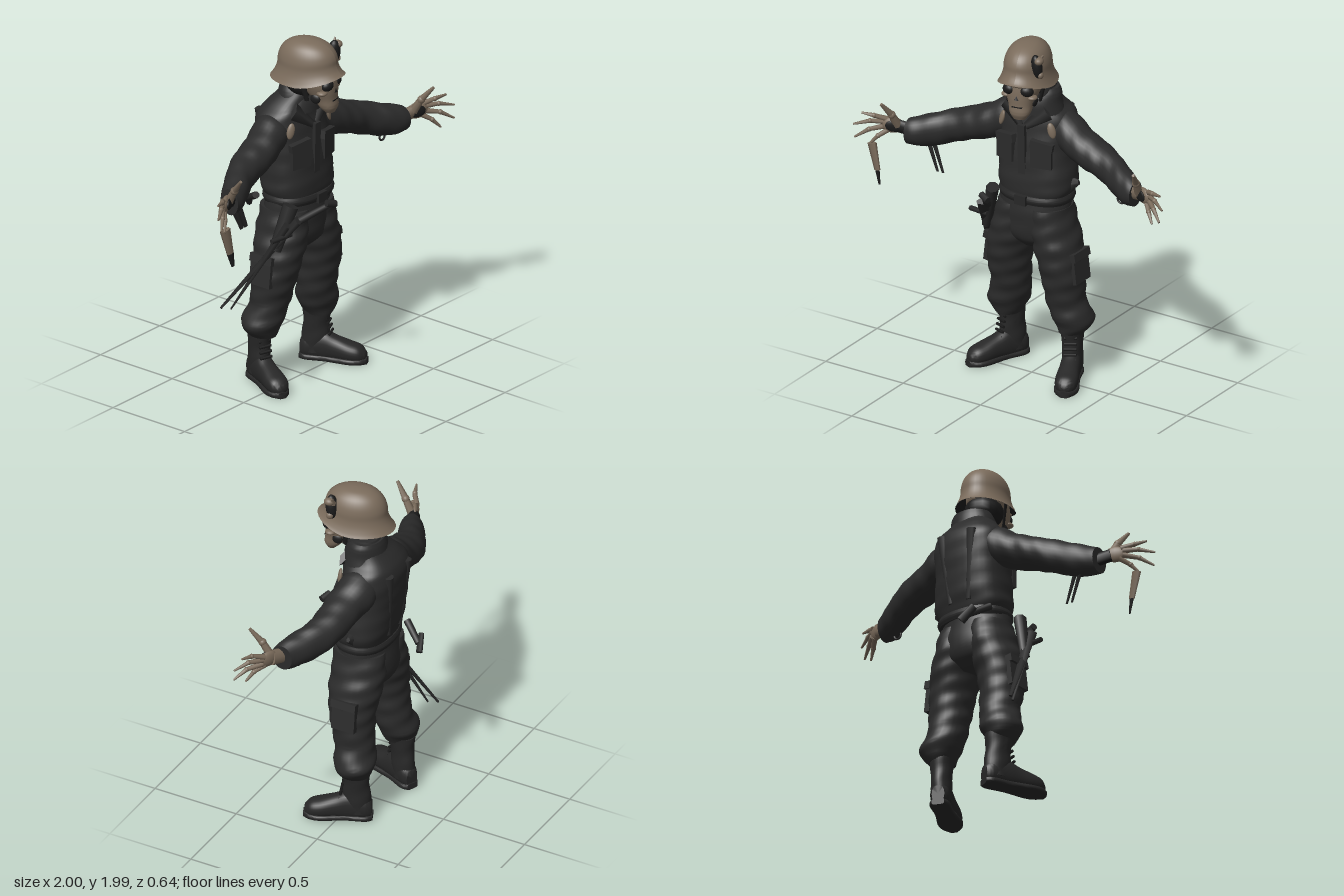
import * as THREE from 'three';
import { toCreasedNormals } from 'three/addons/utils/BufferGeometryUtils.js';

const paint = (name, hex, side = THREE.FrontSide) => {
  const m = new THREE.MeshStandardMaterial({ color: hex, side });
  m.name = name;
  return m;
};
const V = (p) => new THREE.Vector3(...p);

// Smooth skin over elliptical sections [x, y, z, ru, rv], listed along +axis.
const AXES = { x: ['z', 'y'], y: ['x', 'z'], z: ['y', 'x'] };
function loft(secs, axis, { n = 2, wrinkle = 0, steps = 5, seg = 28 } = {}) {
  const mid = new THREE.CatmullRomCurve3(secs.map((s) => V(s.slice(0, 3))), false, 'catmullrom');
  const rad = new THREE.CatmullRomCurve3(secs.map((s) => V([s[3], s[4], 0])), false, 'catmullrom');
  const [u, v] = AXES[axis], rows = (secs.length - 1) * steps;
  const pos = [], idx = [];
  const bend = (t) => Math.sign(t) * Math.abs(t) ** (2 / n);
  for (let i = 0; i <= rows; i++) {
    const c = mid.getPoint(i / rows), r = rad.getPoint(i / rows), h = c[axis];
    for (let j = 0; j < seg; j++) {
      const a = (j / seg) * Math.PI * 2, p = c.clone();
      const w = 1 + wrinkle * (Math.sin(2 * a + h * 62) + 0.7 * Math.sin(3 * a - h * 41));
      p[u] += r.x * w * bend(Math.cos(a));
      p[v] += r.y * w * bend(Math.sin(a));
      pos.push(p.x, Math.max(0, p.y), p.z);
      if (i < rows) {
        const k = i * seg + j, l = i * seg + ((j + 1) % seg);
        idx.push(k, k + seg, l, l, k + seg, l + seg);
      }
    }
  }
  // end caps
  const first = pos.length / 3, end = rows * seg;
  for (const t of [0, 1]) { const c = mid.getPoint(t); pos.push(c.x, Math.max(0, c.y), c.z); }
  for (let j = 0; j < seg; j++) {
    const l = (j + 1) % seg;
    idx.push(first, j, l, first + 1, end + l, end + j);
  }
  const g = new THREE.BufferGeometry();
  g.setAttribute('position', new THREE.Float32BufferAttribute(pos, 3));
  g.setIndex(idx);
  return toCreasedNormals(g, 0.9);
}

export function createModel() {
  const root = new THREE.Group();
  root.name = 'skeletonSoldier';
  const cloth = paint('charcoal cloth', 0x2b2b2b);
  const leather = paint('dark leather', 0x272727);
  const bone = paint('tan bone', 0x7a6b5b);
  const shade = paint('near black', 0x1b1b1b, THREE.DoubleSide);

  const add = (name, geo, mat, parent = root) => {
    const m = new THREE.Mesh(geo, mat);
    m.name = name;
    parent.add(m);
    return m;
  };
  const box = (name, mat, size, at, rot = [0, 0, 0], parent = root) => {
    const m = add(name, new THREE.BoxGeometry(...size), mat, parent);
    m.position.set(...at);
    m.rotation.set(...rot);
    return m;
  };
  const ball = (name, mat, size, at, parent = root) => {
    const m = add(name, new THREE.SphereGeometry(1, 16, 12), mat, parent);
    m.scale.set(...size);
    m.position.set(...at);
    return m;
  };
  // Tapered rod from a to b, optionally flattened
  const bar = (name, mat, a, b, ra, rb, seg = 8, flat = 1, parent = root) => {
    const A = V(a), B = V(b), d = B.clone().sub(A);
    const g = new THREE.CylinderGeometry(rb, ra, d.length(), seg).scale(1, 1, flat);
    const m = add(name, g, mat, parent);
    m.position.copy(A).add(B).multiplyScalar(0.5);
    m.quaternion.setFromUnitVectors(new THREE.Vector3(0, 1, 0), d.normalize());
    return m;
  };

  // Jacket, collar, hips and belt
  add('jacket', loft([[0.01, 1.08, -0.04, 0.2, 0.14], [0.01, 1.13, -0.045, 0.22, 0.152], [0.01, 1.2, -0.055, 0.222, 0.158],
    [0, 1.35, -0.07, 0.21, 0.16], [0, 1.48, -0.085, 0.215, 0.152], [0, 1.55, -0.085, 0.2, 0.14], [0, 1.6, -0.07, 0.155, 0.12],
    [0.015, 1.66, -0.04, 0.115, 0.1], [0.025, 1.72, -0.03, 0.09, 0.09]], 'y', { n: 2.5, wrinkle: 0.008, seg: 40 }), cloth);
  add('collar', loft([[0.01, 1.57, -0.045, 0.16, 0.125], [0.02, 1.63, -0.04, 0.135, 0.115], [0.025, 1.68, -0.045, 0.125, 0.1],
    [0.025, 1.71, -0.05, 0.11, 0.085]], 'y'), cloth);
  add('hips', loft([[0, 0.77, -0.04, 0.07, 0.08], [0, 0.83, -0.045, 0.19, 0.14], [0, 0.92, -0.045, 0.222, 0.155],
    [0, 1.0, -0.04, 0.212, 0.153], [0, 1.1, -0.04, 0.2, 0.145]], 'y', { wrinkle: 0.006 }), cloth);
  add('belt', loft([[0.01, 1.05, -0.04, 0.208, 0.152], [0.01, 1.075, -0.04, 0.217, 0.162], [0.01, 1.1, -0.04, 0.21, 0.155]], 'y', { n: 2.3 }), leather);
  box('beltBuckle', leather, [0.07, 0.055, 0.02], [0.01, 1.075, 0.125]);
  box('jacketPlacket', cloth, [0.045, 0.4, 0.02], [0.0, 1.31, 0.093], [0.03, 0, 0]);

  for (const s of [1, -1]) {
    const side = s > 0 ? 'left' : 'right';
    const flip = (secs) => (s > 0 ? secs : secs.map(([x, ...r]) => [-x, ...r]));
    const back = (y) => (s > 0 ? 0 : -0.05 * Math.max(0, 1 - y / 0.85));
    const P = ([x, y, z]) => [s * x, y, z];

    // Jacket details
    box(side + 'ChestPocket', cloth, [0.12, 0.13, 0.025], P([0.115, 1.34, 0.08]), [0, s * 0.25, 0]);
    box(side + 'PocketFlap', cloth, [0.13, 0.045, 0.035], P([0.115, 1.405, 0.076]), [0, s * 0.25, s * -0.15]);
    bar(side + 'Lapel', cloth, P([0.015, 1.5, 0.085]), P([0.13, 1.6, 0.045]), 0.02, 0.05, 4, 0.4);
    bar(side + 'BackPleat', cloth, P([0.06, 1.14, -0.195]), P([0.1, 1.54, -0.22]), 0.015, 0.028, 8, 0.9);
    const tear = ball(side + 'ChestTear', bone, [0.022, 0.045, 0.012], P([0.16, 1.495, 0.048]));
    tear.rotation.set(-0.2, s * 0.6, s * 0.35);

    // Sleeves
    const arm = flip([[0.1, 1.465, -0.08, 0.1, 0.1], [0.2, 1.45, -0.075, 0.11, 0.115], [0.3, 1.405, -0.05, 0.105, 0.105],
      [0.4, 1.37, -0.04, 0.1, 0.098], [0.5, 1.335, -0.02, 0.09, 0.098], [0.6, 1.305, 0.03, 0.085, 0.097],
      [0.68, 1.29, 0.07, 0.077, 0.086], [0.73, 1.285, 0.09, 0.062, 0.074]]);
    add(side + 'Sleeve', loft(s > 0 ? arm : arm.reverse(), 'x', { wrinkle: 0.018 }), cloth);

    // Skeletal hand
    const hand = new THREE.Group();
    hand.name = side + 'Hand';
    root.add(hand);
    bar('wrist', s > 0 ? bone : shade, P([0.7, 1.29, 0.09]), P([0.79, 1.31, 0.12]), 0.042, 0.042, 10, 0.7, hand);
    const palm = ball('palm', bone, [0.062, 0.046, 0.022], P([0.81, 1.312, 0.13]), hand);
    palm.rotation.set(0, s * -0.45, 0);
    const hollow = ball('palmHollow', shade, [0.05, 0.034, 0.01], P([0.793, 1.315, 0.145]), hand);
    hollow.rotation.copy(palm.rotation);
    const fingers = [
      [[0.78, 1.32, 0.13], [0.79, 1.395, 0.175], [0.815, 1.475, 0.24]],
      [[0.84, 1.34, 0.135], [0.9, 1.365, 0.18], [0.965, 1.375, 0.205]],
      [[0.85, 1.325, 0.14], [0.92, 1.332, 0.19], [0.998, 1.31, 0.235]],
      [[0.85, 1.3, 0.14], [0.92, 1.285, 0.2], [0.985, 1.24, 0.245]],
      [[0.83, 1.285, 0.135], [0.875, 1.25, 0.18], [0.915, 1.2, 0.21]]];
    fingers.forEach((f, i) => {
      const [a, b, c] = f.map(P), r = i ? 0.014 : 0.022;
      bar('fingerBase', bone, a, b, r * 1.15, r * 0.85, 7, 1, hand);
      bar('fingerTip', bone, b, c, r * 0.9, r * 0.4, 7, 1, hand);
      ball('knuckle', bone, [r, r, r], b, hand);
    });

    // Trousers gathered over the boots
    const leg = [[0.215, 0.28, -0.07, 0.07, 0.08], [0.222, 0.32, -0.075, 0.098, 0.1], [0.215, 0.37, -0.075, 0.12, 0.115],
      [0.188, 0.45, -0.06, 0.112, 0.11], [0.18, 0.52, -0.05, 0.113, 0.115], [0.177, 0.6, -0.04, 0.12, 0.123],
      [0.165, 0.7, -0.035, 0.125, 0.136], [0.143, 0.8, -0.04, 0.132, 0.15], [0.118, 0.9, -0.043, 0.122, 0.155],
      [0.1, 1.02, -0.04, 0.11, 0.145]].map(([x, y, z, a, b]) => [x, y, z + back(y), a, b]);
    add(side + 'TrouserLeg', loft(flip(leg), 'y', { wrinkle: 0.022, steps: 7 }), cloth);
    box(side + 'ThighPocket', cloth, [0.035, 0.16, 0.14], P([0.278, 0.68, -0.045 + back(0.68)]), [0, 0, s * 0.12]);
    box(side + 'ThighPocketFlap', cloth, [0.04, 0.045, 0.15], P([0.278, 0.755, -0.045 + back(0.75)]), [0, 0, s * 0.2]);

    // Boots, turned outward
    const boot = new THREE.Group();
    boot.name = side + 'Boot';
    boot.position.set(s * 0.215, 0, -0.07 + back(0));
    boot.rotation.y = s * 0.42;
    root.add(boot);
    add('shaft', loft([[0, 0.05, -0.02, 0.055, 0.07], [0, 0.13, -0.015, 0.056, 0.078], [0, 0.22, -0.01, 0.058, 0.072],
      [0, 0.31, -0.005, 0.07, 0.08]], 'y', { wrinkle: 0.015 }), leather, boot);
    add('foot', loft([[0, 0.065, -0.095, 0.05, 0.035], [0, 0.075, -0.06, 0.07, 0.052], [0, 0.085, 0.03, 0.085, 0.055],
      [0, 0.075, 0.1, 0.068, 0.057], [0, 0.062, 0.18, 0.055, 0.063], [0, 0.055, 0.235, 0.045, 0.054],
      [0, 0.045, 0.268, 0.022, 0.025]], 'z', { n: 2.3 }), leather, boot);
    add('sole', loft([[0, 0.018, -0.1, 0.018, 0.035], [0, 0.018, -0.06, 0.018, 0.055], [0, 0.018, 0.05, 0.018, 0.052],
      [0, 0.018, 0.18, 0.018, 0.068], [0, 0.018, 0.24, 0.018, 0.055], [0, 0.018, 0.275, 0.018, 0.025]], 'z', { n: 4 }), leather, boot);
    for (let i = 0; i < 5; i++)
      bar('lace', shade, [-0.035, 0.13 + i * 0.03, 0.078 - i * 0.006], [0.035, 0.135 + i * 0.03, 0.078 - i * 0.006], 0.008, 0.008, 6, 1, boot);
  }

  // Head, turned slightly to its left
  const head = new THREE.Group();
  head.name = 'head';
  head.position.set(0, 0, 0.035);
  head.rotation.y = 0.2;
  root.add(head);
  add('skull', loft([[0.005, 1.585, 0.135, 0.035, 0.025], [0.005, 1.62, 0.125, 0.058, 0.05], [0.003, 1.665, 0.105, 0.068, 0.066],
    [0, 1.71, 0.08, 0.085, 0.092], [0, 1.75, 0.06, 0.1, 0.11], [0, 1.79, 0.03, 0.108, 0.135], [0, 1.84, 0.02, 0.1, 0.14]], 'y', { n: 2.3 }), bone, head);
  ball('napeShadow', shade, [0.108, 0.09, 0.11], [0, 1.745, -0.02], head);
  for (const s of [1, -1]) {
    ball('eyeSocket', shade, [0.037, 0.03, 0.025], [s * 0.054, 1.757, 0.15], head).rotation.set(0, s * 0.4, s * -0.2);
    ball('cheekbone', bone, [0.03, 0.015, 0.03], [s * 0.073, 1.715, 0.125], head);
    ball('cheekHollow', shade, [0.014, 0.028, 0.03], [s * 0.073, 1.675, 0.085], head);
    bar('chinStrap', shade, [s * 0.11, 1.79, 0.02], [s * 0.085, 1.66, 0.04], 0.018, 0.014, 6, 0.5, head);
  }
  ball('brow', bone, [0.085, 0.016, 0.03], [0, 1.79, 0.15], head);
  bar('noseHole', shade, [0, 1.705, 0.172], [0, 1.74, 0.164], 0.02, 0.006, 3, 0.5, head);
  box('toothGap', shade, [0.06, 0.006, 0.01], [0.003, 1.662, 0.167], [0, 0, 0], head);

  // Flared helmet, raised over the brow, with a dark lining
  const rim = [[1.24, 0], [1.16, 0.018], [1.06, 0.05], [1.0, 0.085], [0.98, 0.125], [0.9, 0.165], [0.74, 0.2], [0.5, 0.224], [0.25, 0.234], [0, 0.237]];
  const dome = new THREE.LatheGeometry(new THREE.SplineCurve(rim.map((p) => new THREE.Vector2(...p))).getPoints(36), 40);
  const dp = dome.attributes.position;
  for (let i = 0; i < dp.count; i++) {
    const x = dp.getX(i), y = dp.getY(i), z = dp.getZ(i), low = 1 - y / 0.237;
    dp.setXYZ(i, x * 0.126, 1.752 + y + low * 0.055 * Math.max(0, z / 1.24) ** 1.5, z * 0.174);
  }
  dome.computeVertexNormals();
  add('helmet', dome, bone, head);
  add('helmetLining', dome.clone().translate(0, -1.75, 0).scale(0.97, 0.97, 0.97).translate(0, 1.752, 0), shade, head);
  ball('helmetHole', shade, [0.03, 0.07, 0.035], [0.095, 1.895, 0.11], head).rotation.set(0, 0.7, 0.15);
  ball('helmetShard', bone, [0.025, 0.022, 0.03], [0.112, 1.935, 0.12], head);
  bar('helmetSplinter', bone, [0.105, 1.92, 0.1], [0.128, 1.965, 0.1], 0.018, 0.004, 5, 1, head);
  ball('helmetChip', bone, [0.015, 0.02, 0.02], [0.12, 1.85, 0.115], head);

  // Sword, scabbards and holster on the right hip
  bar('swordHilt', leather, [-0.2, 1.0, 0.13], [-0.11, 1.125, 0.295], 0.022, 0.016);
  bar('swordPommel', leather, [-0.14, 1.13, 0.28], [-0.085, 1.115, 0.3], 0.02, 0.02);
  bar('scabbard', leather, [-0.22, 1.02, 0.15], [-0.39, 0.45, -0.25], 0.036, 0.01, 6, 0.6);
  bar('dagger', leather, [-0.25, 0.99, 0.1], [-0.365, 0.45, -0.2], 0.036, 0.008, 6, 0.6);
  bar('holster', leather, [-0.2, 1.08, 0.08], [-0.27, 0.83, 0.03], 0.045, 0.035, 8, 0.8);
  bar('crossGuard', leather, [-0.35, 0.915, 0.07], [-0.22, 0.925, 0.1], 0.014, 0.014);

  // Hook tool behind the belt
  bar('toolHandle', leather, [-0.19, 1.07, -0.17], [-0.12, 1.0, -0.28], 0.02, 0.018);
  bar('toolHead', leather, [-0.16, 1.04, -0.275], [-0.09, 0.965, -0.3], 0.022, 0.026, 8, 0.7);

  // Hanging bone spike, sleeve straps and loose loop
  bar('hangingBone', bone, [-0.9, 1.21, 0.2], [-0.862, 1.06, 0.205], 0.034, 0.022, 6, 0.5);
  bar('hangingBoneTip', shade, [-0.862, 1.06, 0.205], [-0.845, 0.98, 0.21], 0.022, 0.01, 6, 0.5);
  for (const x of [0, 0.035])
    bar('sleeveStrap', leather, [-0.635 + x, 1.21, 0.04], [-0.575 + x, 1.065, 0.05], 0.022, 0.012, 4, 0.4);
  const loop = add('sleeveLoop', new THREE.TorusGeometry(0.022, 0.006, 6, 14), leather);
  loop.position.set(0.61, 1.205, 0.05);
  const tail = bar('jacketTail', cloth, [0.19, 1.15, -0.05], [0.265, 1.175, -0.06], 0.06, 0.015, 6, 0.6);
  tail.scale.z = 1.2;
  return root;
}
